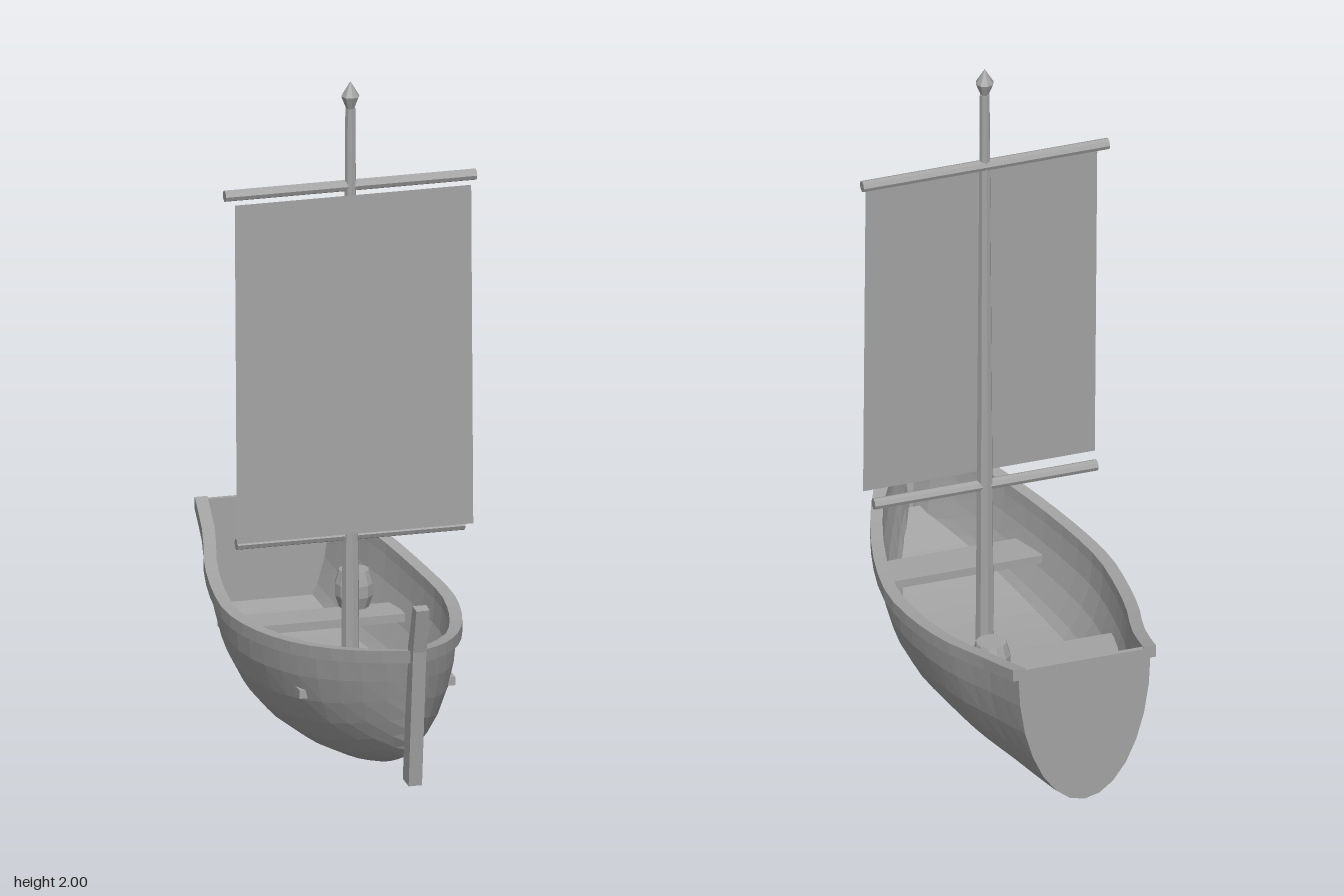
import * as THREE from 'three';

export function createModel() {
  const model = new THREE.Group();
  const grey = new THREE.MeshStandardMaterial({ color: 0xa3a3a3 });
  grey.name = 'plain grey';
  grey.flatShading = true;
  grey.side = THREE.DoubleSide;

  const add = (name, geo, x = 0, y = 0, z = 0) => {
    const mesh = new THREE.Mesh(geo, grey);
    mesh.name = name;
    mesh.position.set(x, y, z);
    model.add(mesh);
    return mesh;
  };

  // Smooth curve value at z through a few [z, value] points
  const sample = (pts) => (z) => {
    let i = 0;
    while (i < pts.length - 2 && z > pts[i + 1][0]) i++;
    const slope = (k) => {
      const a = pts[Math.max(0, k - 1)], b = pts[Math.min(pts.length - 1, k + 1)];
      return (b[1] - a[1]) / (b[0] - a[0]);
    };
    const [z0, v0] = pts[i], [z1, v1] = pts[i + 1];
    const d = z1 - z0, t = (z - z0) / d, t2 = t * t, t3 = t2 * t;
    return (2 * t3 - 3 * t2 + 1) * v0 + (t3 - 2 * t2 + t) * d * slope(i)
      + (3 * t2 - 2 * t3) * v1 + (t3 - t2) * d * slope(i + 1);
  };
  const beam = sample([[-0.79, 0.218], [-0.6, 0.25], [-0.4, 0.302], [-0.15, 0.336],
    [0, 0.333], [0.2, 0.292], [0.4, 0.222], [0.6, 0.118], [0.74, 0.02]]);
  const keel = sample([[-0.79, 0.05], [-0.6, 0.022], [-0.4, 0.008], [-0.15, 0.001],
    [0, 0.003], [0.2, 0.02], [0.4, 0.06], [0.6, 0.12], [0.74, 0.17]]);
  const sheer = (z) => 0.4 + 0.18 * z * z;

  // Faces between successive cross-sections; outward when points run clockwise
  const loft = (rings, { closed = false, inward = false, caps = false } = {}) => {
    const pos = [], n = rings[0].length;
    const tri = (a, b, c) => pos.push(...a, ...(inward ? c : b), ...(inward ? b : c));
    for (let i = 0; i < rings.length - 1; i++) {
      for (let j = 0; j < (closed ? n : n - 1); j++) {
        const k = (j + 1) % n, r = rings[i], s = rings[i + 1];
        tri(r[j], s[j], r[k]);
        tri(r[k], s[j], s[k]);
      }
    }
    if (caps) {
      const a = rings[0], b = rings[rings.length - 1];
      for (let j = 1; j < n - 1; j++) {
        tri(a[0], a[j], a[j + 1]);
        tri(b[0], b[j + 1], b[j]);
      }
    }
    const geo = new THREE.BufferGeometry();
    geo.setAttribute('position', new THREE.Float32BufferAttribute(pos, 3));
    geo.computeVertexNormals();
    return geo;
  };

  const stations = Array.from({ length: 19 }, (_, i) => -0.79 + 1.53 * i / 18);

  // Rounded hull section; the bow rakes back towards the keel
  const section = (z, inset, segs = 14) => {
    const w = Math.max(0.003, beam(z) - 0.017 - inset);
    const top = sheer(z) - 0.025, h = top - keel(z) - inset;
    const rake = 0.06 * Math.max(0, (z - 0.4) / 0.34);
    return Array.from({ length: segs + 1 }, (_, j) => {
      const a = Math.PI * j / segs, s = Math.sin(a);
      return [w * Math.cos(a), top - h * s, z - rake * s];
    });
  };
  add('hullOuter', loft(stations.map((z) => section(z, 0))));
  add('hullInner', loft(stations.map((z) => section(z, 0.02)), { inward: true }));

  // Transom closing the stern
  const back = section(-0.79, 0);
  const transom = (z) => [[0.2, 0.507, z], ...back.map(([x, y]) => [x, y, z]), [-0.2, 0.507, z]];
  add('transom', loft([transom(-0.79), transom(-0.775)], { closed: true, caps: true }));

  // Gunwale rails
  for (const side of [1, -1]) {
    const rings = stations.map((z) => {
      const o = beam(z), y = sheer(z);
      const i = Math.max(0, o - 0.038 - 0.03 * Math.max(0, (z - 0.4) / 0.3));
      const ring = [[o, y, z], [o, y - 0.037, z], [i, y - 0.037, z], [i, y, z]];
      return ring.map(([x, b, c]) => [x * side, b, c]);
    });
    add(side > 0 ? 'leftGunwale' : 'rightGunwale',
      loft(rings, { closed: true, caps: true, inward: side < 0 }));
  }

  // Floor boards following the hull
  add('floor', loft(stations.slice(0, -1).map((z) => {
    const w = Math.max(0.002, (beam(z) - 0.035) * 0.7);
    const top = sheer(z) - 0.025;
    const y = top - 0.7 * (top - keel(z) - 0.02);
    return [[-w, y, z], [w, y, z]];
  })));

  // Benches
  add('rearBench', new THREE.BoxGeometry(0.526, 0.025, 0.117), -0.002, 0.262, -0.337);
  add('frontBench', new THREE.BoxGeometry(0.466, 0.025, 0.12), 0, 0.262, 0.275);

  // Stem post at the bow
  const stem = new THREE.Shape([[0.66, 0.09], [0.72, 0.085], [0.765, 0.5], [0.8, 0.635],
    [0.762, 0.64], [0.712, 0.5]].map(([z, y]) => new THREE.Vector2(z, y)));
  const stemGeo = new THREE.ExtrudeGeometry(stem, { depth: 0.04, bevelEnabled: false });
  stemGeo.rotateY(-Math.PI / 2);
  add('stemPost', stemGeo, 0.02);

  // Mast, finial and yards
  const mastZ = 0.055;
  add('mast', new THREE.CylinderGeometry(0.015, 0.028, 1.82, 8), 0, 1.01, mastZ);
  add('finial', new THREE.LatheGeometry([[0.001, 1.915], [0.012, 1.92], [0.027, 1.957], [0.001, 2]]
    .map(([r, y]) => new THREE.Vector2(r, y)), 8), 0, 0, mastZ);
  for (const [name, length, y] of [['upperYard', 0.75, 1.688], ['lowerYard', 0.68, 0.638]]) {
    const yard = add(name, new THREE.CylinderGeometry(0.017, 0.017, length, 8), 0, y, mastZ - 0.003);
    yard.rotation.z = Math.PI / 2;
  }

  // Sail sheet, leaning slightly forward at its foot
  const sail = add('sail', new THREE.PlaneGeometry(0.706, 1.012), 0, 1.161, 0.093);
  sail.rotation.x = -0.021;

  // Small barrel standing on the rear bench
  add('barrel', new THREE.LatheGeometry([[0, 0.274], [0.044, 0.274], [0.056, 0.31], [0.056, 0.345],
    [0.044, 0.385], [0, 0.385]].map(([r, y]) => new THREE.Vector2(r, y)), 12), 0.142, 0, -0.395);

  return model;
}
